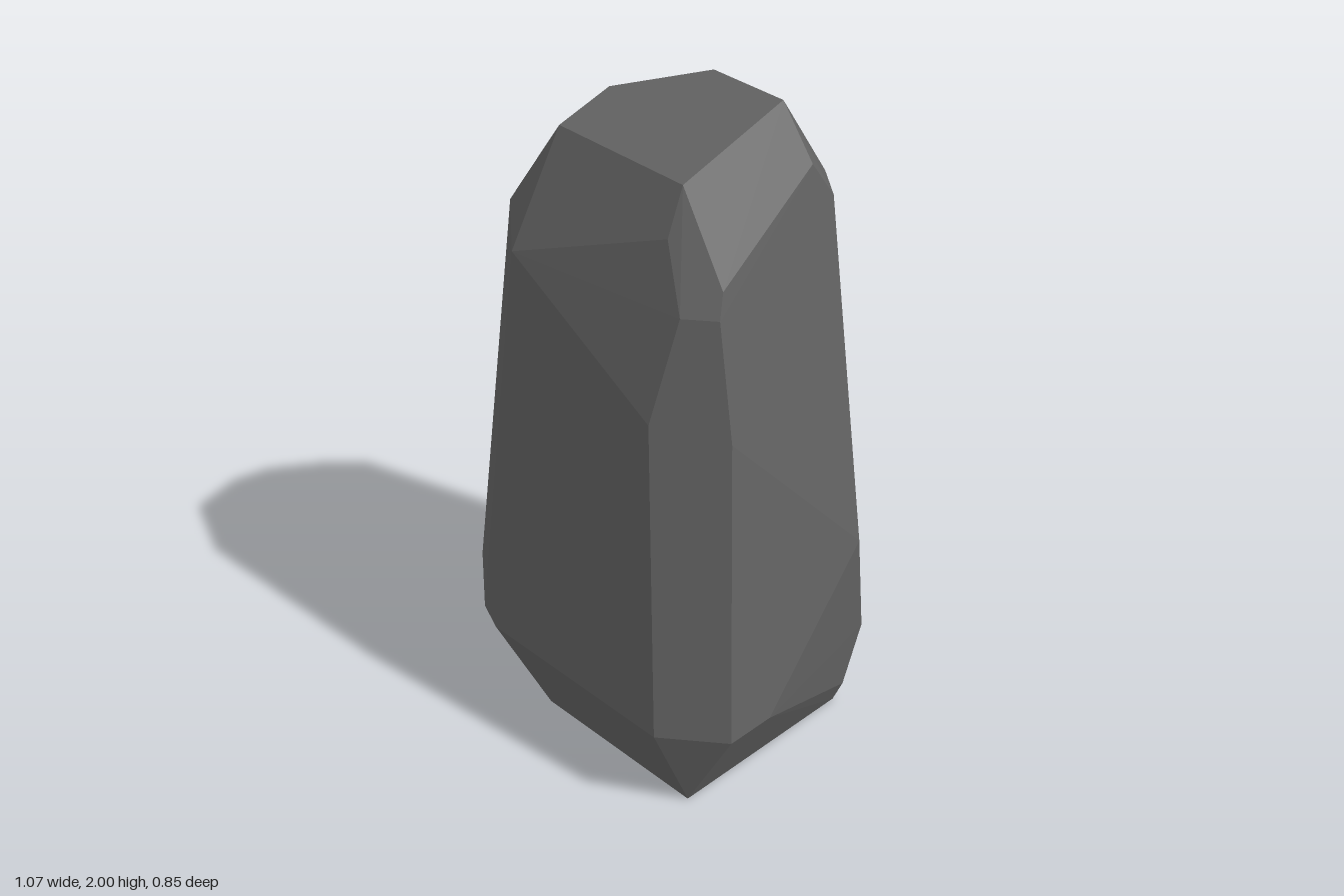
import * as THREE from 'three';
import { ConvexGeometry } from 'three/addons/geometries/ConvexGeometry.js';

// Corners of the faceted stone, grouped by height: [x, y, z]
const crown = [
  [-0.02, 2, -0.18], [0.23, 2, -0.18], [-0.23, 1.94, 0], [-0.23, 1.89, 0.18], [0.23, 1.89, 0.18],
];
const shoulder = [
  [0.33, 1.85, -0.19], [0.345, 1.74, -0.26], [0.25, 1.75, -0.33], [-0.13, 1.75, -0.33],
  [-0.27, 1.594, -0.34], [-0.44, 1.53, -0.21], [-0.425, 1.67, -0.08], [-0.425, 1.6, 0.195],
  [-0.26, 1.56, 0.335], [0.235, 1.76, 0.238], [0.32, 1.58, 0.278], [0.28, 1.27, 0.352],
  [0.385, 1.65, 0.19], [0.4, 1.58, 0.215], [0.455, 1.23, 0.22],
];
const belly = [
  [0.5, 0.69, -0.26], [0.535, 0.29, 0.13], [0.535, 0.29, 0.285], [0.365, 0.29, 0.42],
  [-0.31, 0.29, 0.42], [-0.36, 0.34, 0.417], [-0.53, 0.37, 0.28], [-0.537, 0.29, 0.2],
  [-0.537, 0.29, -0.14], [-0.51, 0.61, -0.27], [-0.34, 0.64, -0.4], [-0.13, 0.29, -0.425],
  [0.365, 0.29, -0.425], [0.44, 0.29, -0.365],
];
const base = [
  [0.43, 0.09, -0.305], [0.39, 0, -0.31], [0.39, 0, 0.31], [-0.2, 0, 0.31],
  [-0.39, 0, 0.125], [-0.385, 0, -0.15], [-0.15, 0, -0.31],
];

export function createModel() {
  const stone = new THREE.MeshStandardMaterial({ color: 0x636363, flatShading: true });
  stone.name = 'slateGrey';

  // Chiselled boulder: one convex hull around all corners
  const corners = [...crown, ...shoulder, ...belly, ...base].map((p) => new THREE.Vector3(...p));
  const boulder = new THREE.Mesh(new ConvexGeometry(corners), stone);
  boulder.name = 'boulder';

  const model = new THREE.Group();
  model.name = 'standingStone';
  model.add(boulder);
  return model;
}
